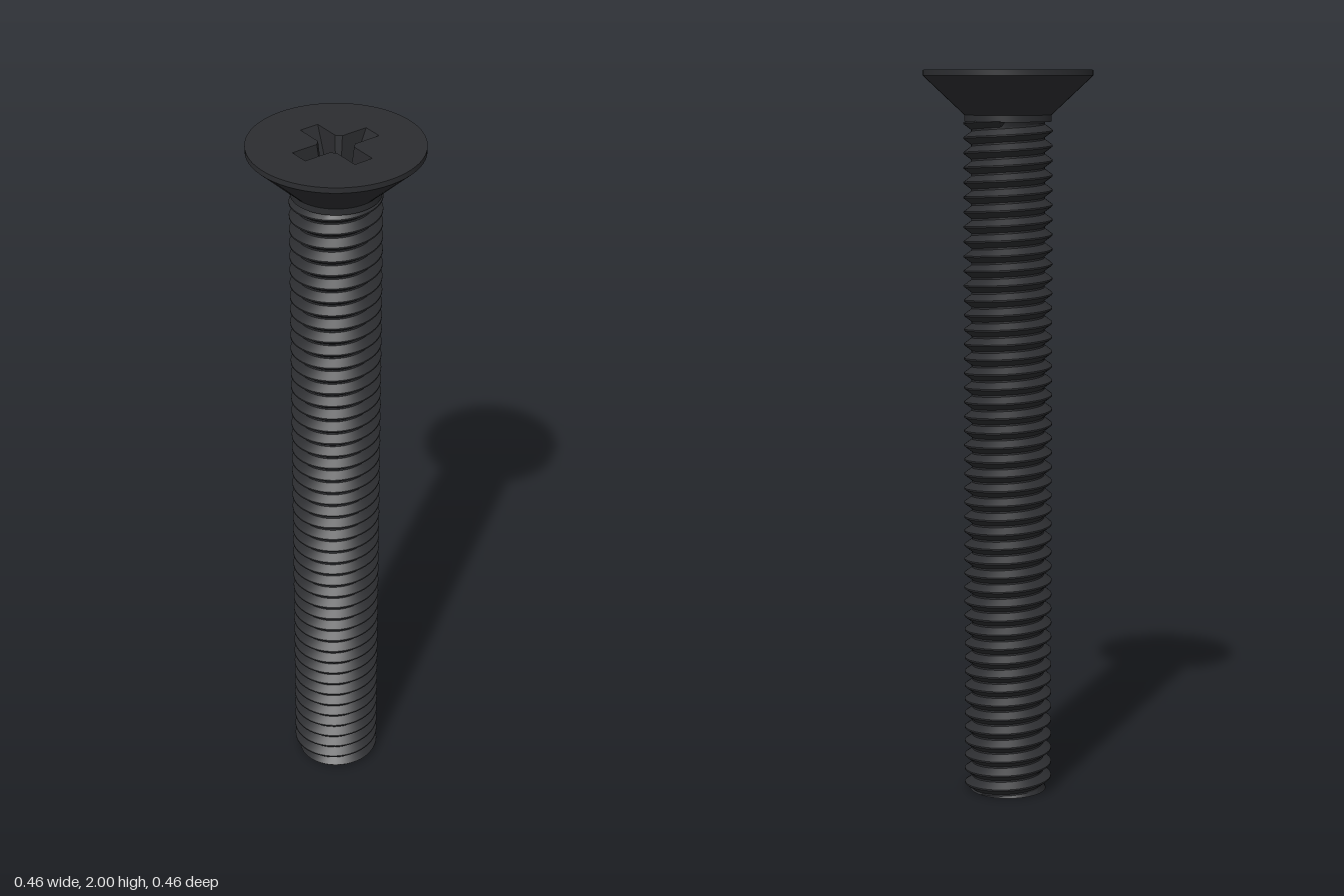
import * as THREE from 'three';
import { toCreasedNormals } from 'three/addons/utils/BufferGeometryUtils.js';

const material = new THREE.MeshStandardMaterial({ color: 0x2c2d30 });
const SEGMENTS = 64;
const TOP = 2, FLOOR = 1.9, NECK = 1.865;
const v2 = (x, y) => new THREE.Vector2(x, y);

function part(name, geometry) {
  const mesh = new THREE.Mesh(geometry, material);
  mesh.name = name;
  return mesh;
}

function indexed(positions, indices) {
  const g = new THREE.BufferGeometry();
  g.setAttribute('position', new THREE.Float32BufferAttribute(positions, 3));
  g.setIndex(indices);
  return toCreasedNormals(g, 0.5);
}

// Cross outline, counter-clockwise: arm length, arm half width, chamfered inner corner
function crossOutline(length, width, corner) {
  const points = [];
  for (let q = 0; q < 4; q++) {
    for (const [x, y] of [[length, width], [corner, width], [width, corner], [width, length]]) {
      points.push(v2(x, y).rotateAround(v2(0, 0), q * Math.PI / 2));
    }
  }
  return points;
}

// Horizontal face looking up at height y
function flatFace(shape, y) {
  return new THREE.ShapeGeometry(shape, SEGMENTS).rotateX(-Math.PI / 2).translate(0, y, 0);
}

// Right-handed thread: a V profile swept up a helix and cut level at both ends
function threadGeometry() {
  const pitch = 0.04, root = 0.1, crest = 0.121, end = 0.106, steps = 48;
  const profile = [[0, root], [0.12, root], [0.51, crest], [0.61, crest], [1, root]];
  const n = profile.length;
  const total = Math.ceil(NECK / pitch + 1) * steps;
  const positions = [], indices = [];
  for (let i = 0; i <= total; i++) {
    const angle = (i % steps) / steps * Math.PI * 2;
    for (const [t, radius] of profile) {
      const y = pitch * (i / steps + t - 1);
      const r = y <= 0 || y >= NECK ? end : Math.min(radius, end + y);
      positions.push(r * Math.cos(angle), THREE.MathUtils.clamp(y, 0, NECK), -r * Math.sin(angle));
    }
  }
  for (let i = 0; i < total; i++) {
    for (let j = 0; j < n - 1; j++) {
      const a = i * n + j, b = a + n;
      indices.push(a, b, b + 1, a, b + 1, a + 1);
    }
  }
  return indexed(positions, indices);
}

// Sloping walls between the recess mouth and its floor
function recessWalls(mouth, floor) {
  const positions = [], indices = [], n = mouth.length;
  mouth.forEach((p, i) => {
    positions.push(p.x, TOP, -p.y, floor[i].x, FLOOR, -floor[i].y);
    const t = 2 * i, u = 2 * ((i + 1) % n);
    indices.push(t + 1, t, u + 1, t, u, u + 1);
  });
  return indexed(positions, indices);
}

export function createModel() {
  const screw = new THREE.Group();
  screw.name = 'countersunkScrew';

  // Shank
  screw.add(part('thread', threadGeometry()));
  screw.add(part('tip', new THREE.CircleGeometry(0.106, SEGMENTS).rotateX(Math.PI / 2)));

  // Neck, cone and rim of the head
  const side = [v2(0.09, 1.862), v2(0.118, 1.862), v2(0.118, 1.88), v2(0.23, 1.985), v2(0.23, TOP)];
  screw.add(part('headSide', toCreasedNormals(new THREE.LatheGeometry(side, SEGMENTS), 0.5)));

  // Head face with the cross-shaped mouth cut out
  const mouth = crossOutline(0.115, 0.027, 0.04);
  const floor = crossOutline(0.068, 0.02, 0.03);
  const face = new THREE.Shape().absarc(0, 0, 0.23, 0, Math.PI * 2, false);
  face.holes.push(new THREE.Path(mouth));
  screw.add(part('headFace', flatFace(face, TOP)));

  // Driver recess: walls, arm floors and a conical centre
  const recess = new THREE.Group();
  recess.name = 'driverRecess';
  const floorShape = new THREE.Shape(floor);
  floorShape.holes.push(new THREE.Path().absarc(0, 0, 0.034, 0, Math.PI * 2, true));
  recess.add(
    part('recessWalls', recessWalls(mouth, floor)),
    part('recessFloor', flatFace(floorShape, FLOOR)),
    part('recessCentre', new THREE.LatheGeometry([v2(0.034, FLOOR), v2(0, FLOOR - 0.02)], SEGMENTS))
  );
  screw.add(recess);
  return screw;
}
